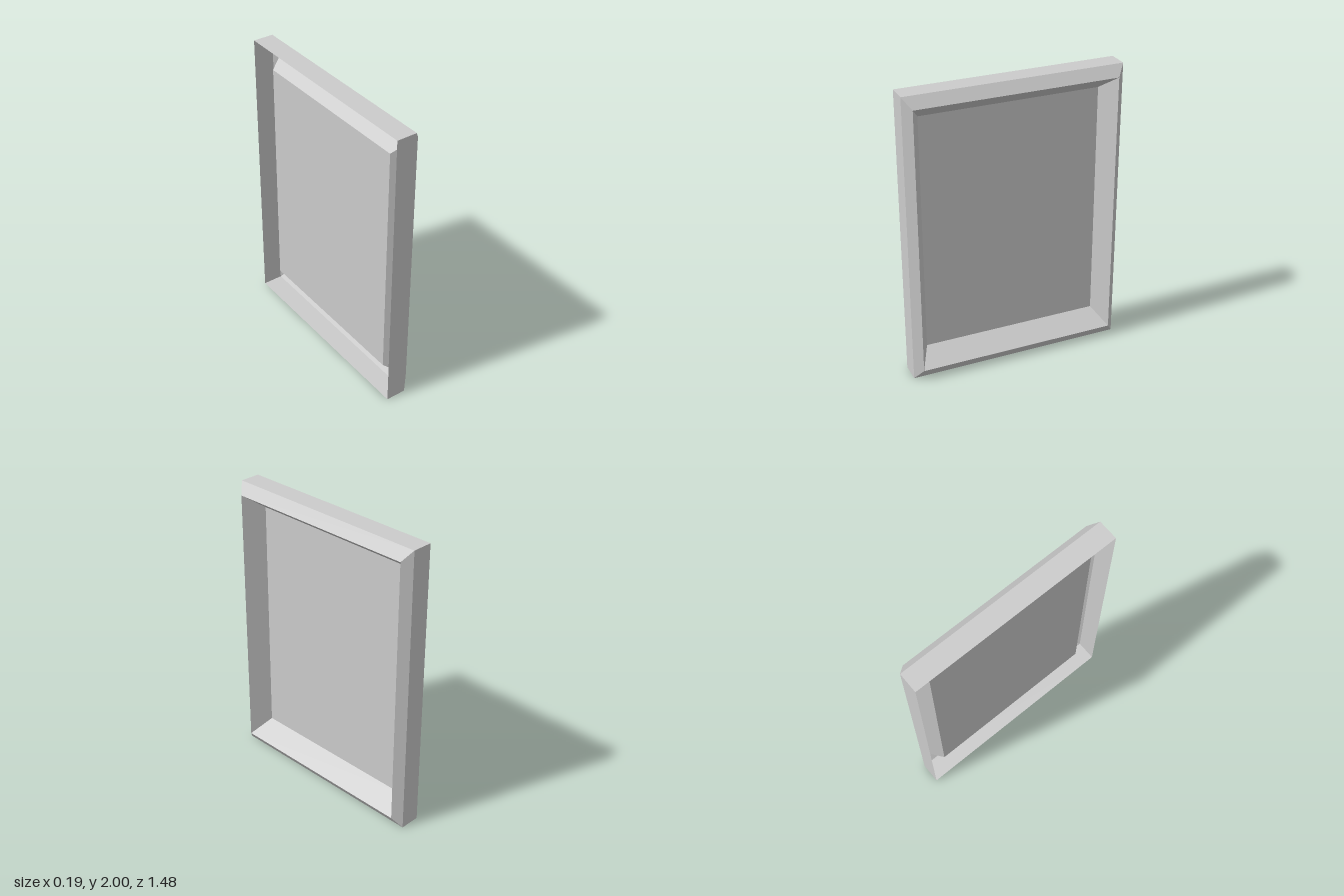
import * as THREE from 'three';

// Rectangular cross-sections from the open back to the sunken panel:
// x position, half width along z, bottom y, top y
const RINGS = [
  { x: -0.097, z: 0.74, y0: 0, y1: 2 },
  { x: 0.042, z: 0.74, y0: 0, y1: 2 },
  { x: 0.097, z: 0.686, y0: 0.077, y1: 1.927 },
  { x: -0.042, z: 0.612, y0: 0.178, y1: 1.827 },
];

// Corners run counter-clockwise seen from +x
function corners({ x, z, y0, y1 }) {
  return [[x, y0, z], [x, y0, -z], [x, y1, -z], [x, y1, z]];
}

function quadMesh(name, quads, material) {
  const positions = quads.flatMap(([a, b, c, d]) => [a, b, c, a, c, d]).flat();
  const geometry = new THREE.BufferGeometry();
  geometry.setAttribute('position', new THREE.Float32BufferAttribute(positions, 3));
  geometry.computeVertexNormals();
  const mesh = new THREE.Mesh(geometry, material);
  mesh.name = name;
  return mesh;
}

// Four mitred faces joining two neighbouring rings
function band(from, to) {
  const a = corners(from), b = corners(to);
  return a.map((p, i) => {
    const j = (i + 1) % 4;
    return [p, a[j], b[j], b[i]];
  });
}

export function createModel() {
  const group = new THREE.Group();
  group.name = 'pictureFrame';
  const material = new THREE.MeshStandardMaterial({
    color: 0xcccccc, flatShading: true, side: THREE.DoubleSide,
  });

  // Hollow frame shell: side walls, outer bevel, inner slope
  ['sideWalls', 'outerBevel', 'innerSlope'].forEach((name, i) => {
    group.add(quadMesh(name, band(RINGS[i], RINGS[i + 1]), material));
  });

  // Sunken flat panel
  group.add(quadMesh('panel', [corners(RINGS[3])], material));
  return group;
}
